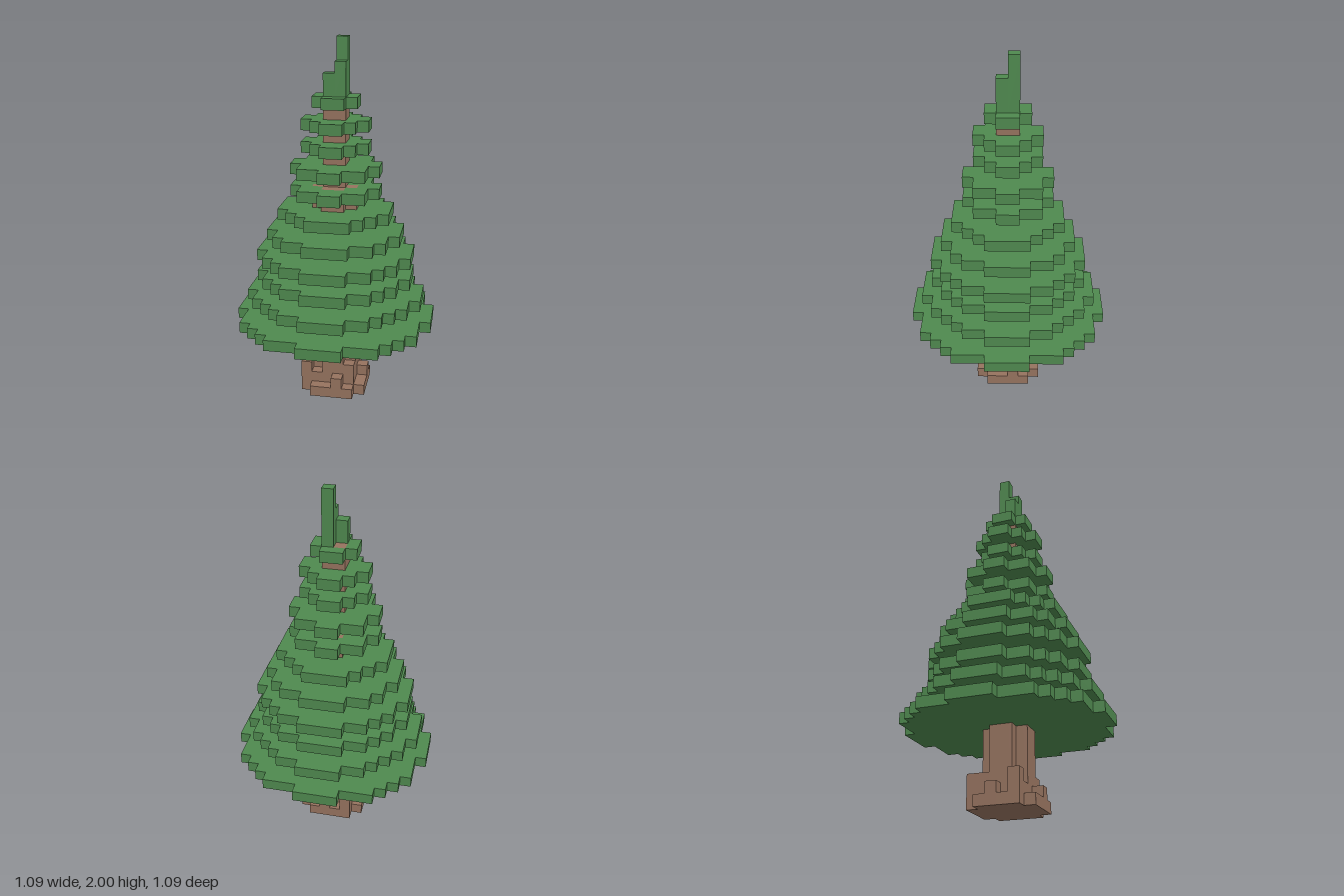
import * as THREE from 'three';

const V = 2 / 33; // edge of one cube; all sizes below are counted in cubes

const leaf = new THREE.MeshStandardMaterial({ color: 0x4f894f, flatShading: true });
const bark = new THREE.MeshStandardMaterial({ color: 0x96735f, flatShading: true });

// Half width of a stepped disc of radius r in the given row of cubes
function halfWidth(r, row) {
  let n = 0;
  while (Math.hypot(n + 0.5, row + 0.5) <= r - 0.25) n++;
  return n;
}

// Disc with a stepped outline, from layer y0 up to layer y1
function steppedDisc(name, r, y0, y1, material) {
  const right = [];
  for (let k = -r; k < r; k++) {
    const w = halfWidth(r, k < 0 ? -k - 1 : k);
    right.push(new THREE.Vector2(w * V, k * V), new THREE.Vector2(w * V, (k + 1) * V));
  }
  const left = right.map((p) => new THREE.Vector2(-p.x, p.y)).reverse();
  const geometry = new THREE.ExtrudeGeometry(new THREE.Shape([...right, ...left]), {
    depth: (y1 - y0) * V,
    bevelEnabled: false,
  });
  geometry.rotateX(-Math.PI / 2);
  const mesh = new THREE.Mesh(geometry, material);
  mesh.name = name;
  mesh.position.y = y0 * V;
  return mesh;
}

// Upright column of cubes whose lowest-x, lowest-z corner is at (x, z)
function column(name, x, z, y0, y1, material, width = 1) {
  const mesh = new THREE.Mesh(new THREE.BoxGeometry(width * V, (y1 - y0) * V, width * V), material);
  mesh.name = name;
  mesh.position.set((x + width / 2) * V, ((y0 + y1) / 2) * V, (z + width / 2) * V);
  return mesh;
}

export function createModel() {
  const tree = new THREE.Group();
  tree.name = 'firTree';

  // Trunk: thick below, thin above
  tree.add(steppedDisc('lowerTrunk', 2, 0, 20, bark));
  tree.add(column('upperTrunk', -1, -1, 20, 28, bark, 2));

  // Roots: uneven columns around the foot, as [x, z, height]
  const roots = new THREE.Group();
  roots.name = 'roots';
  const rootCells = [
    [-2, 2, 1], [-1, 2, 1], [0, 2, 2], [1, 2, 1], // front
    [-2, -3, 3], [-1, -3, 1], [0, -3, 2], [1, -3, 1], // back
    [2, 1, 1], [2, 0, 1], [2, -1, 2], [2, -2, 1], // left
    [-3, 1, 3], [-3, 0, 1], [-3, -1, 2], [-3, -2, 1], // right
    [1, 1, 3], [-2, 1, 2], [1, -2, 2], [-2, -2, 3], // corners
  ];
  for (const [x, z, h] of rootCells) roots.add(column('root', x, z, 0, h, bark));
  tree.add(roots);

  // Branch layers: one cube thick, one cube apart
  const branches = new THREE.Group();
  branches.name = 'branches';
  [9, 8, 7, 7, 6, 5, 4, 4, 3, 3, 2].forEach((r, i) => {
    branches.add(steppedDisc('branchLayer', r, 7 + 2 * i, 8 + 2 * i, leaf));
  });
  tree.add(branches);

  // Tip: three columns of falling height
  const tip = new THREE.Group();
  tip.name = 'tip';
  for (const [x, z, top] of [[0, -1, 33], [0, 0, 31], [-1, 0, 30]]) {
    tip.add(column('tipColumn', x, z, 28, top, leaf));
  }
  tree.add(tip);

  return tree;
}
